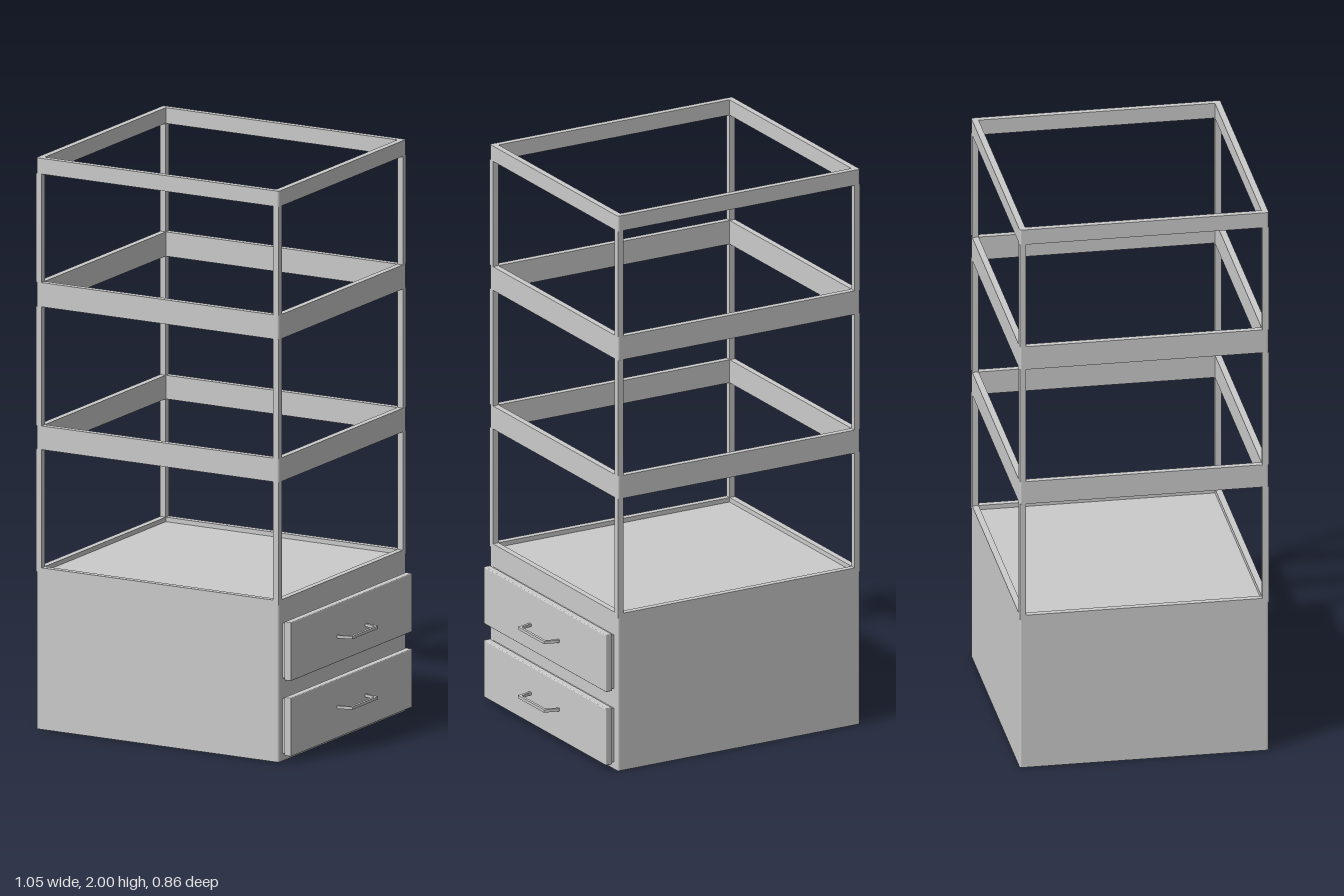
import * as THREE from 'three';
import { RoundedBoxGeometry } from 'three/addons/geometries/RoundedBoxGeometry.js';

const X0 = -0.525, X1 = 0.431, Z = 0.43, WALL = 0.022;
const CX = (X0 + X1) / 2, W = X1 - X0, D = 2 * Z;
const material = new THREE.MeshStandardMaterial({ color: 0xcccccc });

function add(parent, name, geometry, x = 0, y = 0, z = 0) {
  const mesh = new THREE.Mesh(geometry, material);
  mesh.name = name;
  mesh.position.set(x, y, z);
  parent.add(mesh);
  return mesh;
}

// Rounded rectangle outline, centred on the origin
function roundedRect(target, w, d, r) {
  const a = w / 2, b = d / 2;
  target.moveTo(-a + r, -b);
  target.lineTo(a - r, -b);
  target.quadraticCurveTo(a, -b, a, -b + r);
  target.lineTo(a, b - r);
  target.quadraticCurveTo(a, b, a - r, b);
  target.lineTo(-a + r, b);
  target.quadraticCurveTo(-a, b, -a, b - r);
  target.lineTo(-a, -b + r);
  target.quadraticCurveTo(-a, -b, -a + r, -b);
  return target;
}

// Upright slab or open frame between two heights
function slab(y0, y1, open) {
  const shape = roundedRect(new THREE.Shape(), W, D, 0.008);
  if (open) shape.holes.push(roundedRect(new THREE.Path(), W - 2 * WALL, D - 2 * WALL, 0.002));
  const g = new THREE.ExtrudeGeometry(shape, { depth: y1 - y0, bevelEnabled: false, curveSegments: 4 });
  return g.rotateX(-Math.PI / 2).translate(CX, y0, 0);
}

// Bent flat-bar pull, drawn in plan and extruded upward
function handleGeometry() {
  const outline = [
    [0.465, -0.1], [0.475, -0.1], [0.521, -0.087], [0.521, 0.087], [0.475, 0.1], [0.465, 0.1],
    [0.465, 0.09], [0.473, 0.09], [0.511, 0.079], [0.511, -0.079], [0.473, -0.09], [0.465, -0.09],
  ].map(([x, z]) => new THREE.Vector2(x, z));
  const g = new THREE.ExtrudeGeometry(new THREE.Shape(outline), { depth: 0.01, bevelEnabled: false });
  return g.translate(0, 0, -0.005).rotateX(-Math.PI / 2);
}

export function createModel() {
  const model = new THREE.Group();
  model.name = 'shelfCabinet';

  // Closed base with a shallow rim around its top
  add(model, 'baseCabinet', slab(0, 0.55, false));
  add(model, 'baseRim', slab(0.55, 0.566, true));

  // Open frames
  [[0.98, 1.063], [1.48, 1.565], [1.945, 2]].forEach(([y0, y1], i) =>
    add(model, i < 2 ? 'shelfFrame' : 'topFrame', slab(y0, y1, true)));

  // Corner posts between the frames
  for (const [y0, y1] of [[0.55, 0.98], [1.063, 1.48], [1.565, 1.945]])
    for (const x of [X0 + WALL / 2, X1 - WALL / 2])
      for (const z of [-Z + WALL / 2, Z - WALL / 2])
        add(model, 'cornerPost', new THREE.BoxGeometry(WALL, y1 - y0, WALL), x, (y0 + y1) / 2, z);

  // Two drawers on the +x side
  const pull = handleGeometry();
  for (const [y, h, handleY] of [[0.1225, 0.205, 0.128], [0.387, 0.205, 0.375]]) {
    const drawer = new THREE.Group();
    drawer.name = 'drawer';
    add(drawer, 'drawerBack', new THREE.BoxGeometry(0.03, h - 0.012, 0.808), 0.43, y, 0);
    add(drawer, 'drawerFront', new RoundedBoxGeometry(0.026, h, 0.82, 2, 0.003), 0.454, y, 0);
    add(drawer, 'drawerHandle', pull, 0, handleY, 0);
    model.add(drawer);
  }
  return model;
}
